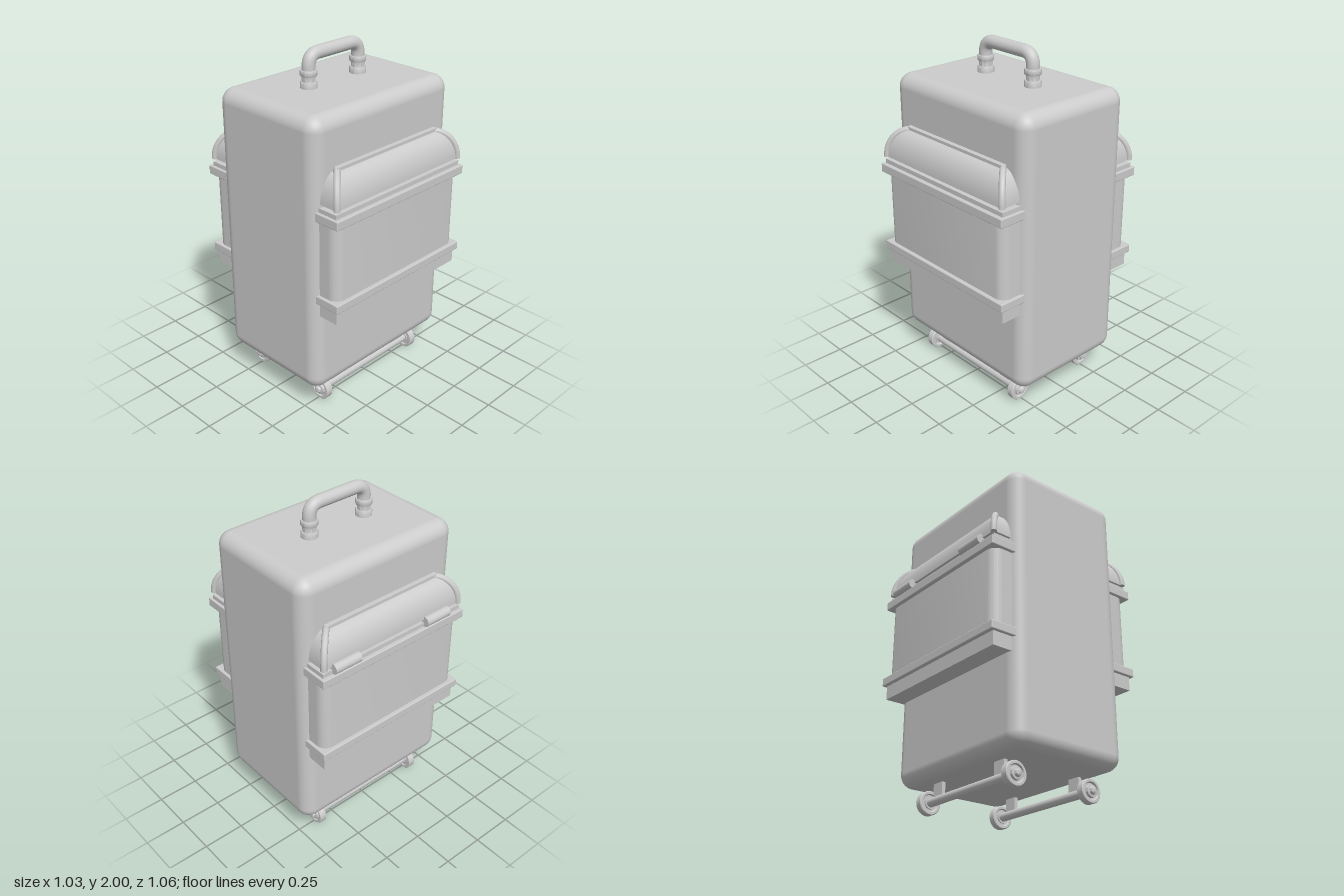
import * as THREE from 'three';
import { toCreasedNormals } from 'three/addons/utils/BufferGeometryUtils.js';
import { RoundedBoxGeometry } from 'three/addons/geometries/RoundedBoxGeometry.js';

const grey = new THREE.MeshStandardMaterial({ color: 0xcccccc });

function add(parent, name, geometry, x = 0, y = 0, z = 0) {
  const mesh = new THREE.Mesh(geometry, grey);
  mesh.name = name;
  mesh.position.set(x, y, z);
  parent.add(mesh);
  return mesh;
}

// Box given by its x range, y range and full depth centred on z = 0
function block(parent, name, x0, x1, y0, y1, depth) {
  return add(parent, name, new THREE.BoxGeometry(x1 - x0, y1 - y0, depth), (x0 + x1) / 2, (y0 + y1) / 2, 0);
}

// Turned part with crisp edges; profile is [radius, height] pairs
function lathe(profile, sides = 32) {
  const points = profile.map(([r, h]) => new THREE.Vector2(r, h));
  return toCreasedNormals(new THREE.LatheGeometry(points, sides), 0.6);
}

// Quarter-round curve of the lid corner: a from 0 (rim) to 1 (top)
function lidCorner(a, inset, side) {
  const t = a * Math.PI / 2;
  const spread = 0.105 * Math.cos(t) - inset;
  return new THREE.Vector3(0.392 + spread, 1.325 + (0.18 - inset) * Math.sin(t), side * (0.392 + spread));
}

// Hipped lid surface: front and two ends curve in together, closed top and bottom
function lidGeometry() {
  const levels = 12, positions = [], index = [];
  const loop = (j) => {
    const p = lidCorner(j / levels, 0.012, 1);
    return [[0.34, p.y, p.z], [p.x, p.y, p.z], [p.x, p.y, -p.z], [0.34, p.y, -p.z]];
  };
  for (let side = 0; side < 3; side++) {
    const base = positions.length / 3;
    for (let j = 0; j <= levels; j++) positions.push(...loop(j)[side], ...loop(j)[side + 1]);
    for (let j = 0; j < levels; j++) {
      const k = base + j * 2;
      index.push(k, k + 1, k + 3, k, k + 3, k + 2);
    }
  }
  for (const corners of [loop(levels), loop(0).reverse()]) {
    const k = positions.length / 3;
    corners.forEach((c) => positions.push(...c));
    index.push(k, k + 1, k + 2, k, k + 2, k + 3);
  }
  const g = new THREE.BufferGeometry();
  g.setAttribute('position', new THREE.Float32BufferAttribute(positions, 3));
  g.setIndex(index);
  g.computeVertexNormals();
  return g;
}

// Upright pouch wall with rounded outer corners
function pouchGeometry(x0, x1, half, r, height) {
  const s = new THREE.Shape();
  s.moveTo(x0, -half);
  s.lineTo(x1 - r, -half);
  s.absarc(x1 - r, -half + r, r, -Math.PI / 2, 0);
  s.lineTo(x1, half - r);
  s.absarc(x1 - r, half - r, r, 0, Math.PI / 2);
  s.lineTo(x0, half);
  const g = new THREE.ExtrudeGeometry(s, { depth: height, bevelEnabled: false, curveSegments: 10 });
  return toCreasedNormals(g.rotateX(-Math.PI / 2), 0.6);
}

function createPocket(name) {
  const pocket = new THREE.Group();
  pocket.name = name;
  block(pocket, 'pocketBase', 0.34, 0.488, 0.66, 0.75, 0.98);
  add(pocket, 'pocketPouch', pouchGeometry(0.34, 0.487, 0.49, 0.06, 0.5), 0, 0.74, 0);
  for (const [y0, y1] of [[0.74, 0.79], [1.23, 1.283]]) {
    const strap = new RoundedBoxGeometry(0.17, y1 - y0, 1.015, 2, 0.006);
    add(pocket, 'pocketStrap', strap, 0.425, (y0 + y1) / 2, 0);
  }
  block(pocket, 'pocketLip', 0.34, 0.487, 1.28, 1.308, 0.985);
  block(pocket, 'pocketRim', 0.34, 0.455, 1.3, 1.33, 0.92);
  add(pocket, 'pocketLid', lidGeometry());
  // Corner ribs and top ridge of the lid
  for (const side of [1, -1]) {
    const points = [];
    for (let i = 0; i <= 8; i++) points.push(lidCorner(i / 8, 0.014, side));
    add(pocket, 'lidRib', new THREE.TubeGeometry(new THREE.CatmullRomCurve3(points), 20, 0.018, 10));
    add(pocket, 'lidRibEnd', new THREE.SphereGeometry(0.018, 12, 8), ...points[8].toArray());
    const foot = new THREE.CircleGeometry(0.018, 10).rotateX(Math.PI / 2);
    add(pocket, 'lidRibFoot', foot, ...points[0].toArray());
  }
  block(pocket, 'lidRidge', 0.34, 0.4, 1.485, 1.507, 0.79);
  return pocket;
}

function createHandle() {
  const handle = new THREE.Group();
  handle.name = 'handle';
  const z = 0.188, r = 0.07, top = 1.964;
  const v = (y, zz) => new THREE.Vector3(0, y, zz);
  const path = new THREE.CurvePath();
  path.add(new THREE.LineCurve3(v(1.87, z), v(top - r, z)));
  path.add(new THREE.QuadraticBezierCurve3(v(top - r, z), v(top, z), v(top, z - r)));
  path.add(new THREE.LineCurve3(v(top, z - r), v(top, r - z)));
  path.add(new THREE.QuadraticBezierCurve3(v(top, r - z), v(top, -z), v(top - r, -z)));
  path.add(new THREE.LineCurve3(v(top - r, -z), v(1.87, -z)));
  add(handle, 'grip', new THREE.TubeGeometry(path, 90, 0.037, 20));
  // Stepped collars where the grip meets the case
  const collar = lathe([[0.047, 0], [0.047, 0.03], [0.043, 0.037], [0.037, 0.037], [0.037, 0.068],
    [0.044, 0.068], [0.047, 0.074], [0.047, 0.093], [0.044, 0.1], [0.03, 0.1]]);
  for (const side of [1, -1]) add(handle, 'gripCollar', collar, 0, 1.783, side * z);
  handle.position.x = -0.01;
  return handle;
}

function createWheelSet(x) {
  const set = new THREE.Group();
  set.name = 'wheelSet';
  set.position.set(x, 0.067, 0);
  add(set, 'axle', new THREE.CylinderGeometry(0.025, 0.025, 0.72, 20).rotateX(Math.PI / 2));
  // Wheel profile: tyre, recessed hub and end cap, turned around the axle
  const wheel = lathe([[0, -0.022], [0.034, -0.022], [0.034, -0.014], [0.045, -0.014], [0.05, -0.022],
    [0.063, -0.022], [0.067, -0.018], [0.067, 0.018], [0.063, 0.022], [0.05, 0.022], [0.045, 0.012],
    [0.036, 0.012], [0.034, 0.026], [0.022, 0.028], [0.018, 0.041], [0.012, 0.045], [0, 0.045]]);
  for (const side of [1, -1]) {
    add(set, 'wheel', wheel, 0, 0, side * 0.368).rotation.x = side * Math.PI / 2;
    add(set, 'axleBracket', new THREE.BoxGeometry(0.022, 0.12, 0.078), 0, 0.05, side * 0.265);
  }
  return set;
}

export function createModel() {
  const model = new THREE.Group();
  model.name = 'suitcase';
  add(model, 'caseBody', new RoundedBoxGeometry(0.746, 1.625, 1.062, 8, 0.08), 0.003, 0.9725, -0.002);

  const left = createPocket('leftPocket');
  const right = createPocket('rightPocket');
  right.rotation.y = Math.PI;
  left.position.set(0.004, 0, -0.004);
  right.position.set(0.004, 0, -0.004);
  model.add(left, right);

  // Hinge barrels on the right pocket
  for (const z of [-0.348, 0.3]) {
    add(model, 'hingeBarrel', new THREE.CylinderGeometry(0.03, 0.03, 0.172, 20).rotateX(Math.PI / 2), -0.488, 1.315, z);
  }

  model.add(createHandle(), createWheelSet(-0.254), createWheelSet(0.257));
  return model;
}
